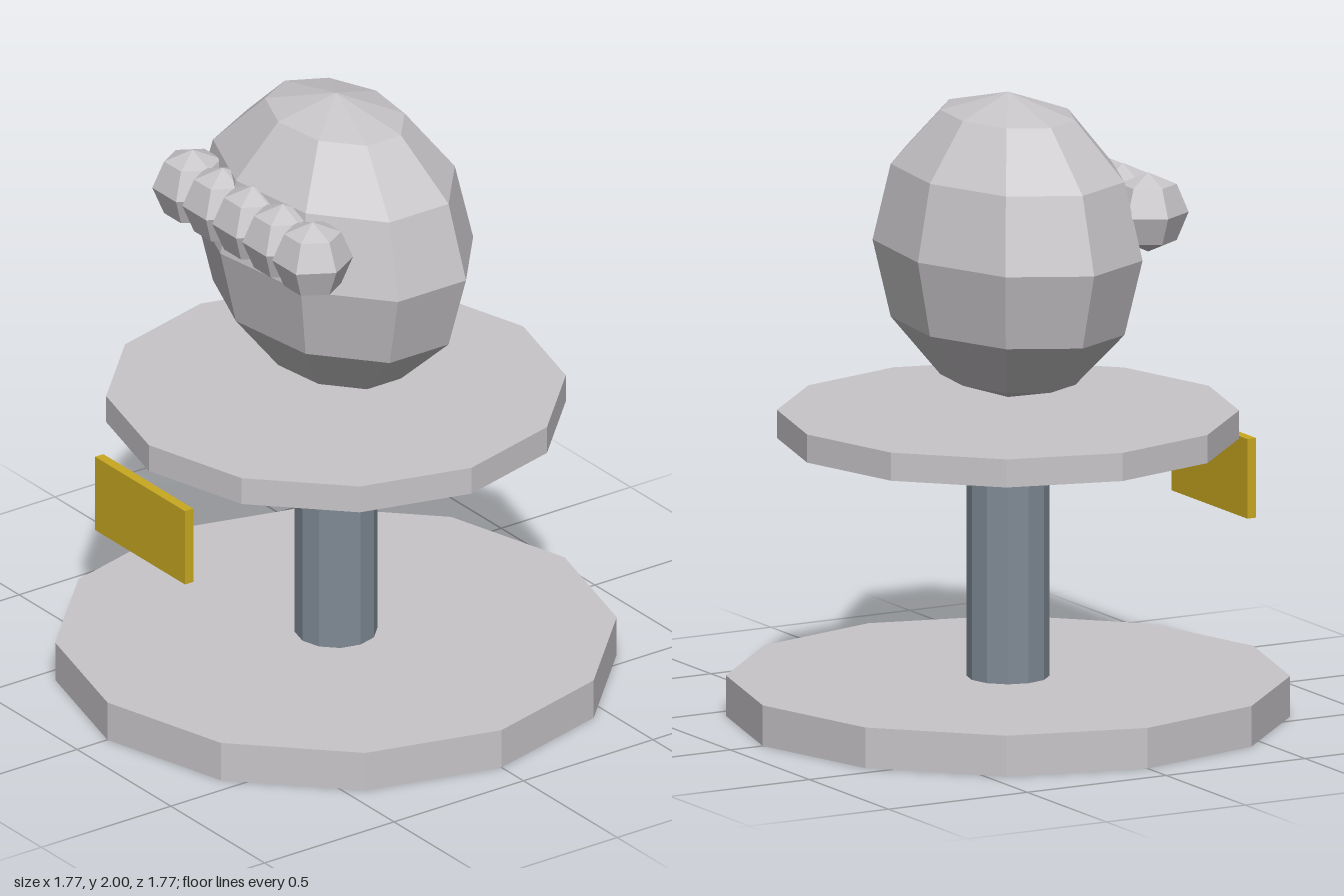
import * as THREE from 'three';

export function createModel() {
  const model = new THREE.Group();
  model.name = 'statue';

  const material = (name, color) => {
    const m = new THREE.MeshStandardMaterial({ color });
    m.name = name;
    return m;
  };
  const stone = material('stone', 0xc8c5c8);
  const steel = material('steel', 0x808b96);
  const gold = material('gold', 0xc9a820);
  for (const m of [stone, steel, gold]) m.flatShading = true;

  const add = (name, geometry, mat, x, y, z, parent = model) => {
    const mesh = new THREE.Mesh(geometry, mat);
    mesh.name = name;
    mesh.position.set(x, y, z);
    parent.add(mesh);
    return mesh;
  };
  // Upright twelve-sided drum between two heights
  const drum = (name, radius, y0, y1, mat) =>
    add(name, new THREE.CylinderGeometry(radius, radius, y1 - y0, 12), mat, 0, (y0 + y1) / 2, 0);

  // Pedestal
  drum('base', 0.883, 0, 0.13, stone);
  drum('post', 0.13, 0.13, 0.89, steel);
  drum('platform', 0.723, 0.89, 0.98, stone);

  // Plaque standing in front of the post
  add('plaque', new THREE.BoxGeometry(0.48, 0.255, 0.032), gold, 0, 0.727, 0.741);

  // Faceted oval head hovering just above the platform
  const headShape = new THREE.SphereGeometry(1, 9, 6).scale(0.545, 0.489, 0.384);
  add('head', headShape, stone, 0, 1.511, 0);

  // Row of beads across the brow
  const beads = new THREE.Group();
  beads.name = 'browBeads';
  model.add(beads);
  const beadShape = new THREE.SphereGeometry(0.127, 6, 4);
  for (let i = -2; i <= 2; i++) add('bead', beadShape, stone, i * 0.16, 1.641, 0.322, beads);

  return model;
}
